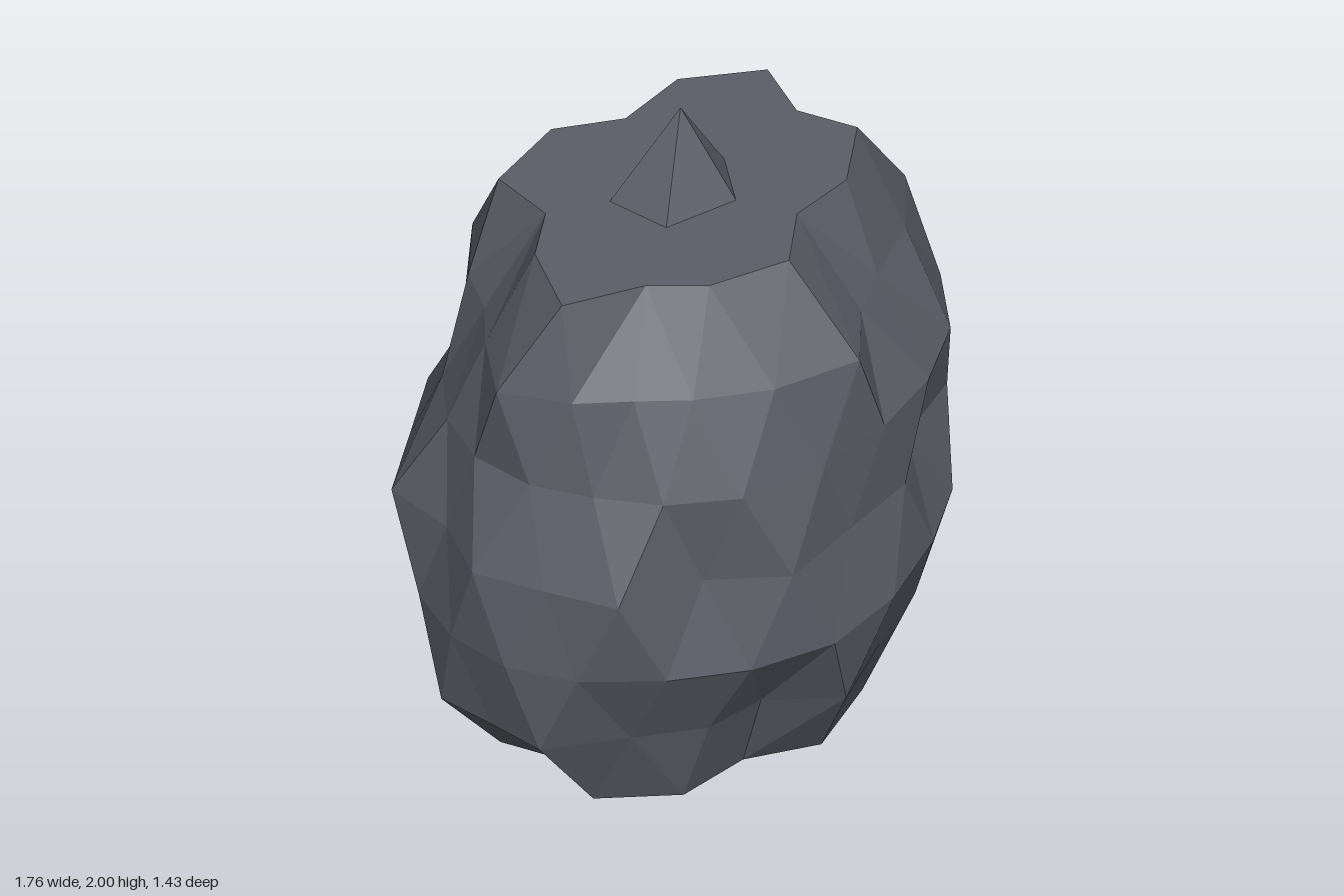
import * as THREE from 'three';

const STEP = 1.72 / 6;
const CENTRE_X = -0.03;
const DEPTH = 0.8;

// Corners of the two five-sided rings of an icosahedron
const upper = (j) => new THREE.Vector2(Math.cos(j * 0.4 * Math.PI), Math.sin(j * 0.4 * Math.PI));
const lower = (j) => upper(j + 0.5);

// One level ring of a subdivided icosahedron: "slide" runs from the upper corners (0) to the
// lower ones (1), "segsA" and "segsB" split the alternating edges. The radii are spread evenly
// round the ring and blended where there are fewer of them than points.
function ring(level, slide, segsA, segsB, radii) {
  const flat = [];
  for (let j = 0; j < 5; j++) {
    const a = upper(j).lerp(lower(j), slide);
    const b = upper(j + 1).lerp(lower(j), slide);
    const next = upper(j + 1).lerp(lower(j + 1), slide);
    for (let s = 0; s < segsA; s++) flat.push(a.clone().lerp(b, s / segsA));
    for (let s = 0; s < segsB; s++) flat.push(b.clone().lerp(next, s / segsB));
  }
  return flat.map((p, i) => {
    const t = (i * radii.length) / flat.length;
    const k = Math.floor(t);
    p.setLength(THREE.MathUtils.lerp(radii[k], radii[(k + 1) % radii.length], t - k));
    return [CENTRE_X + p.x, level * STEP, p.y * DEPTH];
  });
}

// Rings from the scalloped foot to the flat top
function boulderRings() {
  const foot = Array(5).fill([0.49, 0.59, 0.61]).flat();
  const base = [0.65, 0.74, 0.72, 0.81, 0.63, 0.69, 0.7, 0.81, 0.78, 0.82,
    0.74, 0.7, 0.7, 0.77, 0.72, 0.74, 0.83, 0.66, 0.7, 0.77];
  const belly = [0.85, 0.84, 0.9, 0.84, 0.85, 0.84, 0.87, 0.81, 0.77, 0.79];
  const waist = [0.78, 0.83, 0.72, 0.81, 0.8, 0.88, 0.77, 0.88, 0.83, 0.86,
    0.79, 0.9, 0.86, 0.91, 0.9, 0.75, 0.72, 0.8, 0.82, 0.9];
  const chest = [0.83, 0.84, 0.82, 0.82, 0.74, 0.75, 0.74, 0.72, 0.73, 0.82];
  const shoulder = [0.66, 0.77, 0.7, 0.63, 0.65, 0.81, 0.74, 0.68, 0.66, 0.7,
    0.76, 0.65, 0.61, 0.67, 0.75, 0.68, 0.62, 0.7, 0.74, 0.72];
  const rim = [0.48, 0.58, 0.52, 0.42, 0.56, 0.53, 0.49, 0.64, 0.51, 0.42, 0.59, 0.56, 0.43, 0.56, 0.61];
  return [
    ring(0, 1, 0, 3, foot),
    ring(1, 1, 0, 4, base),
    ring(2, 0.75, 1, 3, belly),
    ring(3, 0.5, 2, 2, waist),
    ring(4, 0.25, 3, 1, chest),
    ring(5, 0, 4, 0, shoulder),
    ring(6, 0, 3, 0, rim),
  ];
}

function facets(triangles) {
  const geometry = new THREE.BufferGeometry();
  geometry.setAttribute('position', new THREE.Float32BufferAttribute(triangles.flat(2), 3));
  geometry.computeVertexNormals();
  return geometry;
}

// Band of triangles joining two rings that may differ in point count
function band(low, high) {
  const triangles = [];
  const at = (points, i) => points[i % points.length];
  let i = 0, j = 0;
  while (i < low.length || j < high.length) {
    if ((j + 0.5) / high.length <= (i + 0.5) / low.length) {
      triangles.push([at(low, i), at(high, j), at(high, j + 1)]);
      j++;
    } else {
      triangles.push([at(low, i), at(high, j), at(low, i + 1)]);
      i++;
    }
  }
  return triangles;
}

// Fan from a ring to one point, facing up
function fan(points, tip) {
  return points.map((p, i) => [tip, points[(i + 1) % points.length], p]);
}

export function createModel() {
  const group = new THREE.Group();
  group.name = 'rock';
  const stone = new THREE.MeshStandardMaterial({ color: 0x5c5e68, flatShading: true });
  stone.name = 'slate grey';
  const add = (name, triangles) => {
    const mesh = new THREE.Mesh(facets(triangles), stone);
    mesh.name = name;
    group.add(mesh);
  };

  // Craggy sides
  const rings = boulderRings();
  add('boulder', rings.slice(1).flatMap((high, k) => band(rings[k], high)));

  // Flat top and flat base
  add('top', fan(rings[6], [CENTRE_X, STEP * 6, 0]));
  add('base', fan(rings[0].reverse(), [CENTRE_X, 0, 0]));

  // Five-sided spike on the flat top
  const spikeFoot = ring(6, 0, 1, 0, [0.18, 0.2, 0.2, 0.22, 0.2]);
  add('spike', fan(spikeFoot, [CENTRE_X, 2, 0]));

  return group;
}
